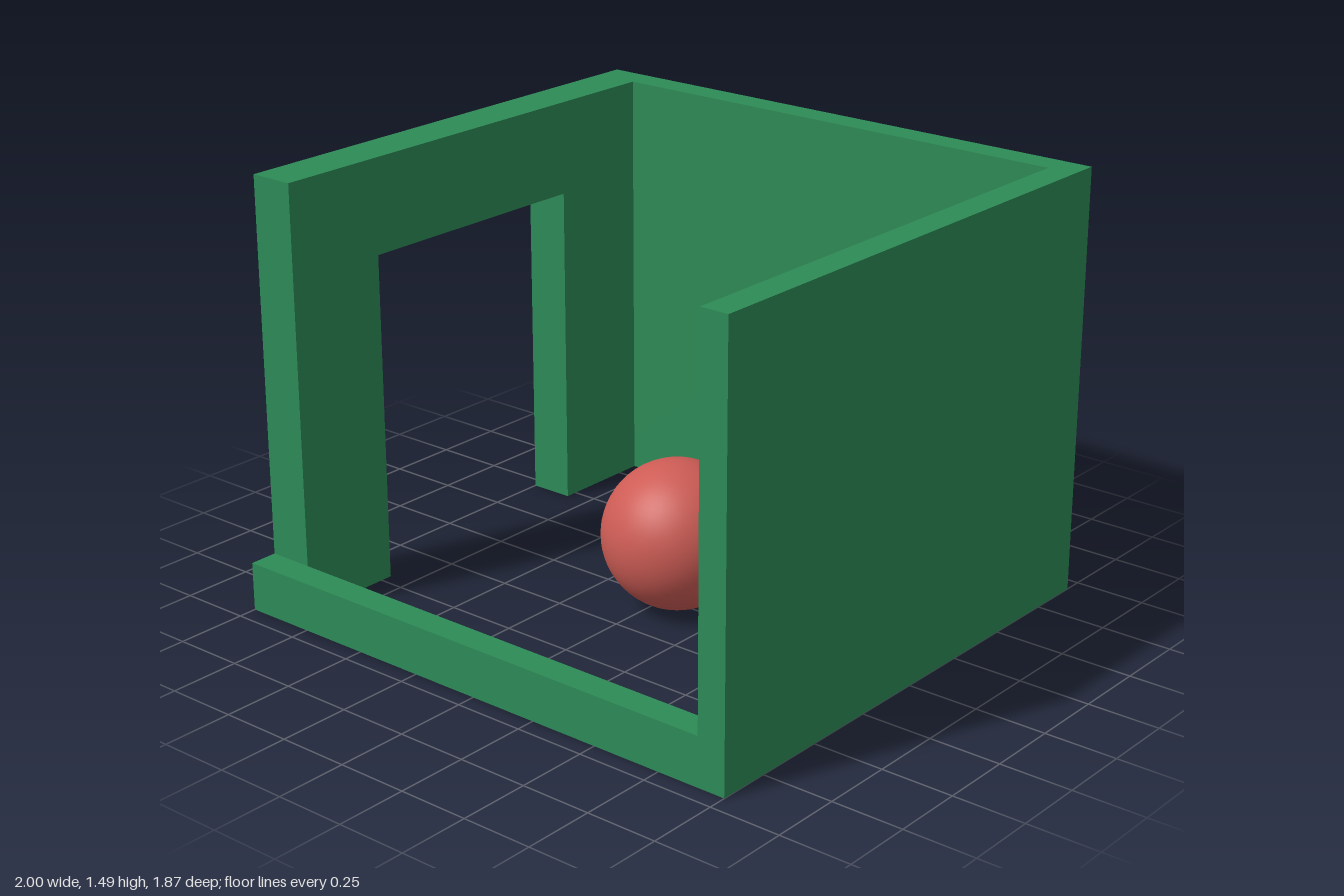
import * as THREE from 'three';

export function createModel() {
  const model = new THREE.Group();
  const green = new THREE.MeshStandardMaterial({ color: 0x2e8b57 });
  green.name = 'green';
  const red = new THREE.MeshStandardMaterial({ color: 0xcd5c55 });
  red.name = 'red';

  // Box given by its [min, max] extent on each axis
  function block(name, [x0, x1], [y0, y1], [z0, z1]) {
    const mesh = new THREE.Mesh(new THREE.BoxGeometry(x1 - x0, y1 - y0, z1 - z0), green);
    mesh.position.set((x0 + x1) / 2, (y0 + y1) / 2, (z0 + z1) / 2);
    mesh.name = name;
    model.add(mesh);
  }

  const H = 1.485; // wall height
  const D = 0.935; // half depth
  const T = 0.1; // wall thickness
  const doorX = [-1, -0.84];

  // Full-height walls and the low front wall
  block('backWall', [-1, 0.9], [0, H], [-D, -D + T]);
  block('leftWall', [0.9, 1], [0, H], [-D, D]);
  block('frontLowWall', [-1, 0.9], [0, 0.17], [D - T, D]);

  // Doorway side: two posts and a lintel
  block('backDoorPost', doorX, [0, H], [-D + T, -0.457]);
  block('frontDoorPost', doorX, [0, H], [0.457, D - T]);
  block('doorLintel', doorX, [1.155, H], [-0.457, 0.457]);

  // Ball on the floor
  const ball = new THREE.Mesh(new THREE.SphereGeometry(0.255, 48, 32), red);
  ball.position.set(0.055, 0.257, 0);
  ball.name = 'ball';
  model.add(ball);

  return model;
}
